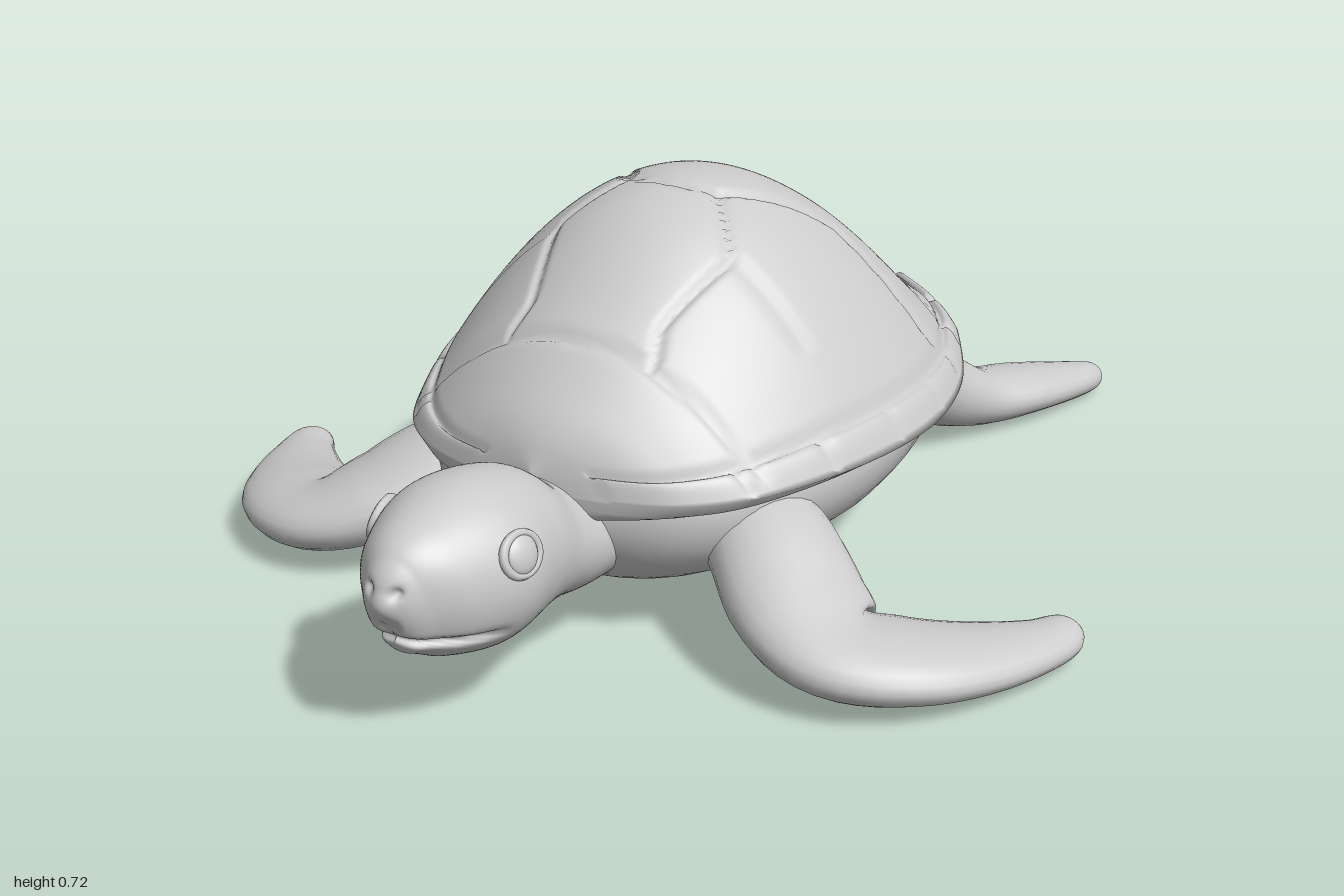
import * as THREE from 'three';

const material = new THREE.MeshStandardMaterial({ color: 0xcccccc, side: THREE.DoubleSide });

// Surface from fn(t, v): t runs along the part, v runs round the closed section.
function surface(name, fn, nt, nv) {
  const pos = [], idx = [];
  for (let i = 0; i <= nt; i++) {
    for (let j = 0; j < nv; j++) {
      const p = fn(i / nt, j / nv);
      pos.push(p.x, p.y, p.z);
      if (i === nt) continue;
      const a = i * nv + j, b = i * nv + (j + 1) % nv;
      idx.push(a, a + nv, b, b, a + nv, b + nv);
    }
  }
  const g = new THREE.BufferGeometry();
  g.setAttribute('position', new THREE.Float32BufferAttribute(pos, 3));
  g.setIndex(idx);
  g.computeVertexNormals();
  const mesh = new THREE.Mesh(g, material);
  mesh.name = name;
  return mesh;
}

const spline = (pts) => new THREE.CatmullRomCurve3(pts, false, 'catmullrom', 0.5);

// Elliptical loft through stations [x, y, z, halfWidth, halfHeight]; carve may move points.
function loft(name, stations, nt, nv, side = 1, carve = (p) => p) {
  const path = spline(stations.map(([x, y, z]) => new THREE.Vector3(x * side, y, z)));
  const radii = spline(stations.map((s) => new THREE.Vector3(s[3], s[4], 0)));
  const up = new THREE.Vector3(0, 1, 0);
  return surface(name, (t, v) => {
    const T = path.getTangent(t);
    const S = new THREE.Vector3().crossVectors(T, up).normalize();
    const N = new THREE.Vector3().crossVectors(S, T);
    const r = radii.getPoint(t), a = v * Math.PI * 2;
    const p = path.getPoint(t)
      .addScaledVector(S, Math.cos(a) * Math.max(r.x, 0))
      .addScaledVector(N, Math.sin(a) * Math.max(r.y, 0));
    return carve(p);
  }, nt, nv);
}

const groove = (d, width) => Math.exp(-((d / width) ** 2));

function segmentDistance(x, z, [ax, az], [bx, bz]) {
  const dx = bx - ax, dz = bz - az;
  const k = THREE.MathUtils.clamp(((x - ax) * dx + (z - az) * dz) / (dx * dx + dz * dz), 0, 1);
  return Math.hypot(x - ax - k * dx, z - az - k * dz);
}

// Plate seams of one half of the shell, as x, z polylines.
const seams = [
  [[0, 0.11], [0.09, 0.09], [0.14, 0.02], [0.22, -0.11], [0.4, -0.17]],
  [[0.09, 0.09], [0.18, 0.2], [0.32, 0.2]],
  [[0.18, 0.2], [0.13, 0.36], [0.15, 0.42]],
  [[0, 0.43], [0.15, 0.42], [0.35, 0.4]],
  [[0, -0.4], [0.1, -0.4], [0.19, -0.35], [0.36, -0.37]],
  [[0.1, -0.4], [0.15, -0.53], [0.25, -0.52]],
  [[0.15, -0.53], [0.11, -0.61], [0, -0.65]],
];

// Domed shell: parabolic sections, engraved seams and a rounded rim.
function shell() {
  const profile = spline([
    [0, 0.31, -0.7], [0.09, 0.335, -0.68], [0.2, 0.37, -0.6], [0.3, 0.42, -0.5],
    [0.365, 0.49, -0.4], [0.455, 0.65, -0.2], [0.487, 0.727, 0], [0.455, 0.7, 0.2],
    [0.37, 0.56, 0.4], [0.28, 0.47, 0.5], [0.17, 0.41, 0.55], [0, 0.34, 0.58],
  ].map((p) => new THREE.Vector3(...p)));
  const rim = 0.31, topShare = 0.85;
  return surface('shell', (t, v) => {
    const { x: w, y: ridge, z } = profile.getPoint(t);
    if (v > topShare) {
      const k = (v - topShare) / (1 - topShare);
      const drop = 0.055 * Math.sqrt(Math.sin(Math.PI * k)) * Math.min(1, w / 0.12);
      return new THREE.Vector3(w * (1 - 2 * k), rim - drop, z);
    }
    const u = (v / topShare) * 2 - 1, x = u * w, ax = Math.abs(x);
    let y = rim + (ridge - rim) * (1 - u * u);
    let d = 1;
    for (const line of seams)
      for (let i = 1; i < line.length; i++) d = Math.min(d, segmentDistance(ax, z, line[i - 1], line[i]));
    // border plates round the edge
    const edge = w - ax;
    if (w > 0.15) {
      d = Math.min(d, Math.abs(edge - 0.045));
      if (edge < 0.045) d = Math.min(d, Math.abs(((z + 2.05) % 0.16) - 0.08));
      y += 0.012 * groove(edge - 0.02, 0.02);
    }
    y -= 0.012 * groove(d, 0.008) * Math.min(1, edge / 0.01);
    return new THREE.Vector3(x, y, z);
  }, 150, 180);
}

// Mouth line and nostrils pressed into the head.
function carveHead(p) {
  if (p.z > 0.82) {
    const mouth = 0.225 - 0.2 * Math.abs(p.x);
    const fade = Math.min(1, (p.z - 0.82) / 0.05);
    const cut = 0.012 * groove(p.y - mouth, 0.008) * fade;
    p.x -= Math.sign(p.x) * Math.min(cut, Math.abs(p.x));
    p.z -= cut;
  }
  if (p.z > 0.93) p.z -= 0.012 * groove(Math.hypot(Math.abs(p.x) - 0.025, p.y - 0.315), 0.01);
  return p;
}

function eye(side) {
  const g = new THREE.Group();
  g.name = side > 0 ? 'leftEye' : 'rightEye';
  const ball = new THREE.Mesh(new THREE.SphereGeometry(0.034, 20, 14), material);
  ball.scale.z = 0.45;
  const lid = new THREE.Mesh(new THREE.TorusGeometry(0.038, 0.008, 8, 28), material);
  lid.scale.y = 0.9;
  ball.name = 'eyeball';
  lid.name = 'eyelid';
  g.add(ball, lid);
  g.position.set(side * 0.135, 0.33, 0.81);
  g.rotation.set(-0.3, side * 1.4, 0, 'YXZ');
  return g;
}

export function createModel() {
  const model = new THREE.Group();
  model.name = 'turtle';
  model.add(shell());

  // Belly under the shell
  model.add(loft('body', [
    [0, 0.27, -0.69, 0, 0], [0, 0.265, -0.67, 0.06, 0.035], [0, 0.25, -0.6, 0.16, 0.075],
    [0, 0.25, -0.45, 0.3, 0.16], [0, 0.27, -0.2, 0.4, 0.222], [0, 0.27, 0.1, 0.425, 0.225],
    [0, 0.26, 0.35, 0.35, 0.195], [0, 0.25, 0.49, 0.23, 0.13], [0, 0.24, 0.57, 0, 0],
  ], 40, 40));

  // Head and neck
  model.add(loft('head', [
    [0, 0.21, 0.35, 0.15, 0.1], [0, 0.215, 0.52, 0.13, 0.105], [0, 0.235, 0.61, 0.127, 0.11],
    [0, 0.262, 0.7, 0.14, 0.14], [0, 0.275, 0.8, 0.15, 0.146], [0, 0.28, 0.9, 0.112, 0.122],
    [0, 0.275, 0.96, 0.065, 0.09], [0, 0.27, 0.988, 0.035, 0.05], [0, 0.265, 0.998, 0, 0],
  ], 90, 96, 1, carveHead));

  // Tail
  model.add(loft('tail', [
    [0, 0.26, -0.55, 0.08, 0.05], [0, 0.25, -0.64, 0.055, 0.045], [0, 0.24, -0.7, 0.04, 0.035],
    [0, 0.232, -0.74, 0.028, 0.024], [0, 0.23, -0.752, 0, 0],
  ], 24, 20));

  for (const side of [1, -1]) {
    const label = side > 0 ? 'left' : 'right';
    // Front flipper sweeps out, then back from the elbow
    model.add(loft(label + 'FrontFlipper', [
      [0.18, 0.22, 0.24, 0.1, 0.09], [0.33, 0.19, 0.34, 0.115, 0.09], [0.44, 0.135, 0.43, 0.125, 0.075],
      [0.535, 0.095, 0.465, 0.12, 0.062], [0.63, 0.08, 0.415, 0.118, 0.055], [0.715, 0.065, 0.325, 0.095, 0.046],
      [0.785, 0.055, 0.22, 0.062, 0.037], [0.812, 0.055, 0.155, 0.04, 0.03], [0.82, 0.055, 0.128, 0, 0],
    ], 48, 24, side));
    // Rear flipper trails backwards
    model.add(loft(label + 'RearFlipper', [
      [0.17, 0.22, -0.34, 0.09, 0.08], [0.225, 0.18, -0.47, 0.09, 0.085], [0.265, 0.12, -0.57, 0.082, 0.075],
      [0.3, 0.078, -0.67, 0.085, 0.058], [0.35, 0.065, -0.78, 0.088, 0.048], [0.41, 0.05, -0.9, 0.06, 0.038],
      [0.442, 0.042, -0.975, 0.034, 0.028], [0.452, 0.04, -1.0, 0, 0],
    ], 44, 24, side));
    model.add(eye(side));
  }
  return model;
}
